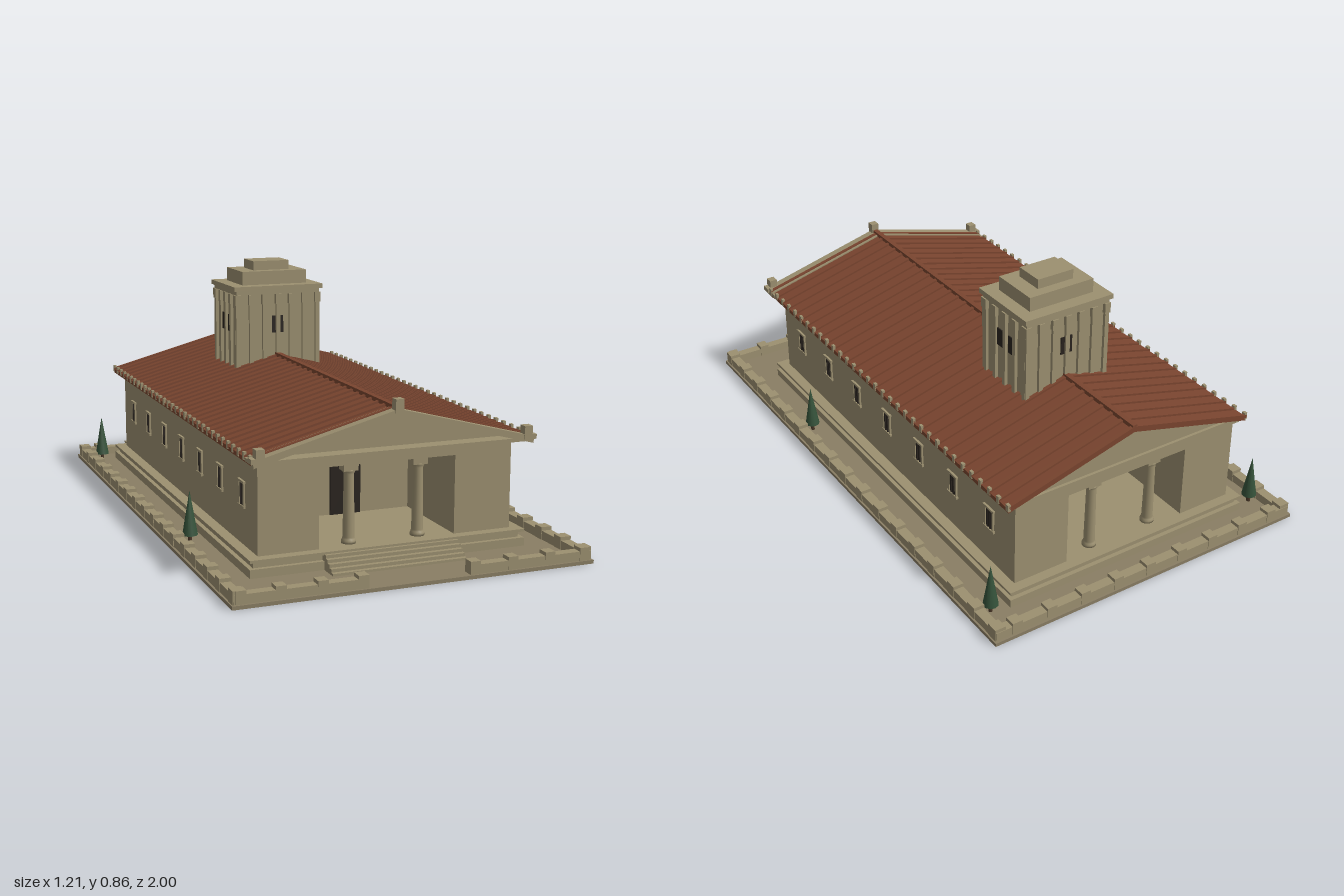
import * as THREE from 'three';

const mat = (color) => new THREE.MeshStandardMaterial({ color });

export function createModel() {
  const root = new THREE.Group();
  const stone = mat(0x9c9070), paving = mat(0x8a7e64), tile = mat(0x7a452f);
  const dark = mat(0x29231e), green = mat(0x35523a), bark = mat(0x4a3828);

  const add = (name, geo, m, parent = root) => {
    const mesh = new THREE.Mesh(geo, m);
    mesh.name = name;
    parent.add(mesh);
    return mesh;
  };
  // Box from its lower and upper limits on each axis
  const box = (name, x0, x1, y0, y1, z0, z1, m = stone, parent = root) => {
    const mesh = add(name, new THREE.BoxGeometry(x1 - x0, y1 - y0, z1 - z0), m, parent);
    mesh.position.set((x0 + x1) / 2, (y0 + y1) / 2, (z0 + z1) / 2);
    return mesh;
  };
  const group = (name) => {
    const g = new THREE.Group();
    g.name = name;
    root.add(g);
    return g;
  };
  // Outline in x and y drawn out along z
  const prism = (name, pts, z0, z1, m, parent = root) => {
    const shape = new THREE.Shape(pts.map(([x, y]) => new THREE.Vector2(x, y)));
    const geo = new THREE.ExtrudeGeometry(shape, { depth: z1 - z0, bevelEnabled: false });
    return add(name, geo.translate(0, 0, z0), m, parent);
  };
  // Gabled strip following the roof slope
  const slope = 0.263;
  const chevron = (name, half, top, thick, z0, z1, m, parent) => {
    const e = top - half * slope;
    return prism(name, [[-half, e - thick], [0, top - thick], [half, e - thick],
      [half, e], [0, top], [-half, e]], z0, z1, m, parent);
  };

  // Ground slab, podium and front stairs
  box('groundSlab', -0.605, 0.605, 0, 0.012, -1, 1, paving);
  box('podiumLower', -0.475, 0.475, 0.01, 0.04, -0.885, 0.785);
  box('podiumBody', -0.46, 0.46, 0.04, 0.06, -0.87, 0.77);
  box('podiumTop', -0.475, 0.475, 0.06, 0.069, -0.885, 0.785);
  const stairs = group('frontStairs');
  for (let i = 0; i < 5; i++) {
    box('step', -0.23, 0.23, 0.01, 0.02 + i * 0.0105, 0.77, 0.855 - i * 0.015, stone, stairs);
  }

  // Perimeter wall with raised blocks and an entrance gap
  const wall = group('perimeterWall');
  const xo = 0.598, zo = 0.992, t = 0.034, low = 0.042, high = 0.054;
  for (const s of [-1, 1]) {
    const [x0, x1] = s > 0 ? [xo - t, xo] : [-xo, -xo + t];
    box('sideWall', x0, x1, 0.01, low, -zo, zo, stone, wall);
    for (let i = 0; i <= 16; i++) {
      const z = -0.97 + i * 0.12125;
      box('wallBlock', x0 - 0.002, x1 + 0.002, 0.01, high, z - 0.02, z + 0.02, stone, wall);
    }
    const [f0, f1] = s > 0 ? [0.17, xo - t] : [-xo + t, -0.17];
    box('frontWall', f0, f1, 0.01, low, zo - t, zo, stone, wall);
    for (const x of [0.187, 0.318, 0.45, 0.575]) {
      box('wallBlock', s * x - 0.017, s * x + 0.017, 0.01, high, zo - t - 0.002, zo + 0.002, stone, wall);
    }
  }
  box('backWall', -xo + t, xo - t, 0.01, low, -zo, -zo + t, stone, wall);
  for (let i = -4; i <= 4; i++) {
    box('wallBlock', i * 0.13 - 0.018, i * 0.13 + 0.018, 0.01, high, -zo - 0.002, -zo + t + 0.002, stone, wall);
  }

  // Main hall: plan with a recessed porch at each end
  const W = 0.437, P = 0.235, F = 0.75, B = -0.85, D = 0.35;
  const plan = new THREE.Shape([[-W, -F], [-P, -F], [-P, -F + D], [P, -F + D], [P, -F], [W, -F],
    [W, -B], [P, -B], [P, -B - D], [-P, -B - D], [-P, -B], [-W, -B]]
    .map(([x, y]) => new THREE.Vector2(x, y)));
  const hall = add('hallWalls', new THREE.ExtrudeGeometry(plan, { depth: 0.265, bevelEnabled: false }), stone);
  hall.rotation.x = -Math.PI / 2;
  hall.position.y = 0.065;
  box('architrave', -W, W, 0.33, 0.366, B, F);
  box('cornice', -0.455, 0.455, 0.366, 0.384, B - 0.01, F + 0.02);
  const dentils = group('dentils');
  for (let i = 0; i < 44; i++) {
    const x = -0.44 + i * 0.0205;
    box('dentil', x - 0.005, x + 0.005, 0.358, 0.367, F - 0.002, F + 0.012, stone, dentils);
  }

  // Doors and porch columns at both ends
  const columnGeo = new THREE.LatheGeometry([[0, 0], [0.024, 0], [0.024, 0.008], [0.021, 0.014],
    [0.019, 0.02], [0.0165, 0.225], [0.021, 0.234], [0.021, 0.24], [0, 0.24]]
    .map(([x, y]) => new THREE.Vector2(x, y)), 16);
  for (const [end, zc, zd] of [['front', F - 0.035, F - D], ['back', B + 0.035, B + D]]) {
    box(end + 'Door', -0.055, 0.055, 0.069, 0.235, zd - 0.006, zd + 0.006, dark);
    for (const x of [-0.12, 0.12]) {
      add(end + 'Column', columnGeo, stone).position.set(x, 0.069, zc);
      box(end + 'ColumnCapital', x - 0.025, x + 0.025, 0.306, 0.332, zc - 0.02, zc + 0.02);
    }
  }

  // Barred side windows
  const windows = group('sideWindows');
  for (const s of [-1, 1]) {
    for (let i = 0; i < 7; i++) {
      const w = new THREE.Group();
      w.name = 'window';
      w.position.set(s * W, 0.235, 0.61 - i * 0.2195);
      windows.add(w);
      box('opening', -0.003, 0.003, -0.04, 0.04, -0.021, 0.021, dark, w);
      box('lintel', -0.008, 0.008, 0.036, 0.044, -0.03, 0.03, stone, w);
      box('sill', -0.008, 0.008, -0.044, -0.036, -0.03, 0.03, stone, w);
      for (const z of [-0.022, 0.022]) box('jamb', -0.006, 0.006, -0.038, 0.038, z - 0.004, z + 0.004, stone, w);
      for (const z of [-0.007, 0.007]) box('bar', -0.006, 0.006, -0.038, 0.038, z - 0.002, z + 0.002, dark, w);
    }
  }

  // Gable body, tiled roof and raking cornice
  prism('gableBody', [[-0.45, 0.38], [0.45, 0.38], [0, 0.502]], B, 0.775, stone);
  const roof = group('tiledRoof');
  chevron('roofSlab', 0.475, 0.509, 0.014, -0.87, 0.803, tile, roof);
  for (let i = 0; i < 33; i++) {
    const z = -0.864 + i * 0.0516;
    chevron('tileRib', 0.477, 0.516, 0.012, z - 0.007, z + 0.007, tile, roof);
    for (const s of [-1, 1]) {
      box('eaveTile', s * 0.473 - 0.005, s * 0.473 + 0.005, 0.375, 0.4, z - 0.007, z + 0.007, stone, roof);
    }
  }
  box('ridgeCap', -0.009, 0.009, 0.503, 0.521, -0.87, 0.803, tile, roof);
  chevron('rakingCornice', 0.475, 0.513, 0.022, 0.77, 0.826, stone);
  box('pedimentLedge', -0.477, 0.477, 0.374, 0.386, 0.75, 0.826);
  box('ridgeOrnament', -0.014, 0.014, 0.5, 0.545, 0.803, 0.832);
  for (const s of [-1, 1]) {
    box('cornerOrnament', s * 0.455 - 0.014, s * 0.455 + 0.014, 0.385, 0.424, 0.8, 0.83);
    box('cornerOrnamentFoot', s * 0.462 - 0.022, s * 0.462 + 0.022, 0.38, 0.396, 0.795, 0.83);
  }

  // Tower with pilasters, paired windows and a stepped top
  const tower = group('tower');
  tower.position.z = -0.372;
  const tx = 0.155, tz = 0.12;
  box('towerBody', -tx, tx, 0.4, 0.757, -tz, tz, stone, tower);
  const pilaster = (x, z) => {
    box('pilaster', x - 0.008, x + 0.008, 0.4, 0.71, z - 0.008, z + 0.008, stone, tower);
    box('pilasterCapital', x - 0.011, x + 0.011, 0.705, 0.742, z - 0.011, z + 0.011, stone, tower);
  };
  for (const s of [-1, 1]) {
    for (let i = -3; i <= 3; i++) pilaster(i * 0.0525, s * (tz + 0.003));
    for (let i = -2; i <= 2; i++) pilaster(s * (tx + 0.003), i * 0.058);
    for (const k of [-1, 1]) {
      box('towerWindow', k * 0.015 - 0.007, k * 0.015 + 0.007, 0.597, 0.66, s * tz - 0.004, s * tz + 0.004, dark, tower);
      box('towerWindow', s * tx - 0.004, s * tx + 0.004, 0.597, 0.66, k * 0.034 - 0.019, k * 0.034 + 0.019, dark, tower);
    }
  }
  box('towerCornice', -0.174, 0.174, 0.757, 0.774, -0.138, 0.138, stone, tower);
  box('towerCorniceUnder', -0.164, 0.164, 0.742, 0.758, -0.13, 0.13, stone, tower);
  box('towerStep', -0.126, 0.126, 0.774, 0.824, -0.09, 0.09, stone, tower);
  box('towerTop', -0.07, 0.07, 0.824, 0.858, -0.053, 0.053, stone, tower);

  // Cypress trees
  const coneGeo = new THREE.ConeGeometry(0.026, 0.15, 10);
  for (const x of [-0.535, 0.535]) {
    for (const z of [0.36, -0.863]) {
      add('cypress', coneGeo, green).position.set(x, 0.115, z);
      add('cypressTrunk', new THREE.CylinderGeometry(0.007, 0.007, 0.035, 8), bark).position.set(x, 0.027, z);
    }
  }
  return root;
}
